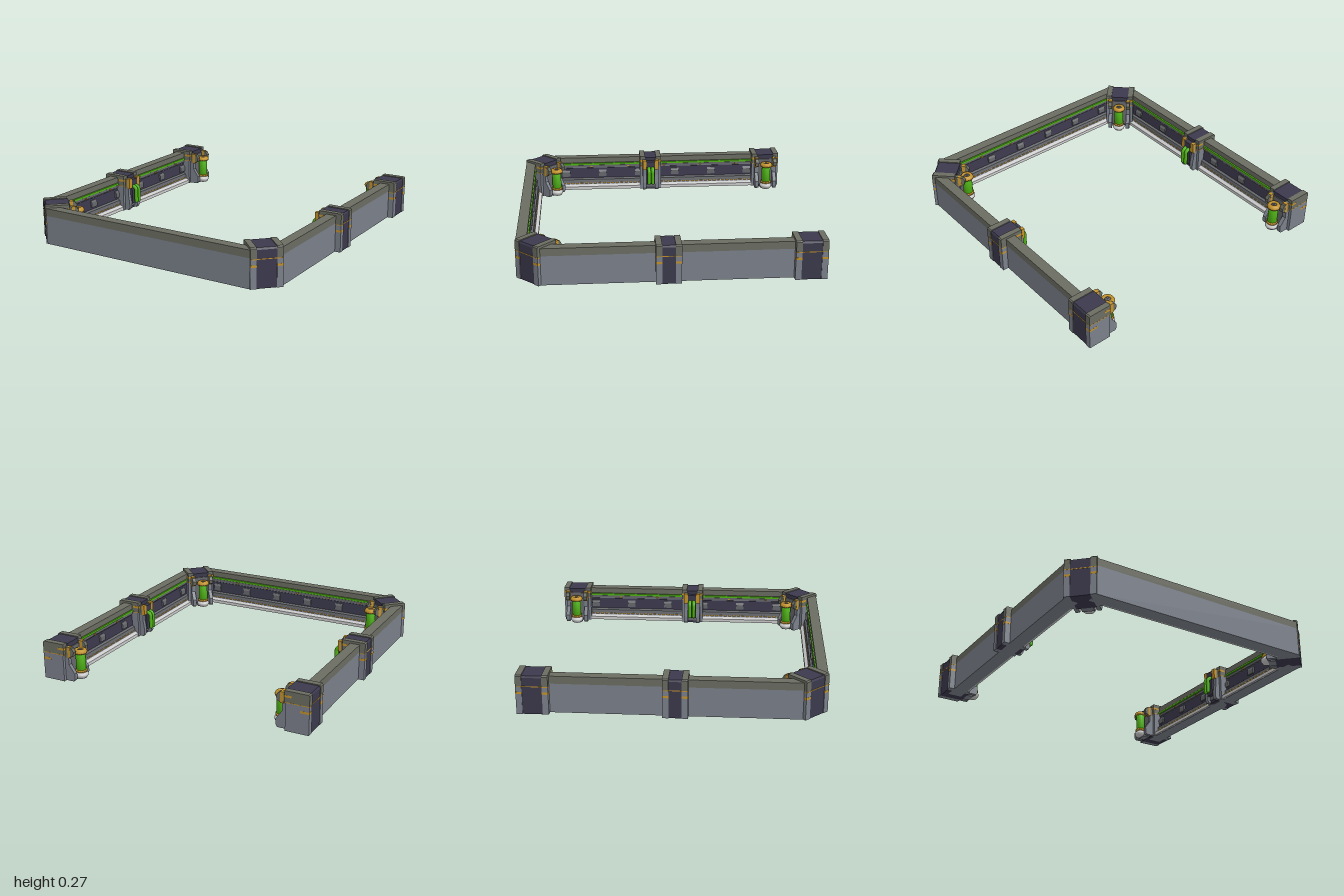
import * as THREE from 'three';

const paint = (color) => new THREE.MeshStandardMaterial({ color });
const STEEL = paint(0x7b808a), OLIVE = paint(0x6b6d62), DARK = paint(0x3b394c), GOLD = paint(0xc4932c);
const GREEN = paint(0x4fb314), PALE = paint(0xd4d4d2), GREY = paint(0x66686c);

function add(parent, name, geometry, material, x = 0, y = 0, z = 0) {
  const mesh = new THREE.Mesh(geometry, material);
  mesh.name = name;
  mesh.position.set(x, y, z);
  parent.add(mesh);
  return mesh;
}

// Box given by its depth, height and width ranges
function block(parent, name, material, [x0, x1], [y0, y1], [z0, z1]) {
  return add(parent, name, new THREE.BoxGeometry(x1 - x0, y1 - y0, z1 - z0), material,
    (x0 + x1) / 2, (y0 + y1) / 2, (z0 + z1) / 2);
}

// Outline of depth and height points, extruded along z and centred on z
function bar(parent, name, material, points, length, z = 0) {
  const shape = new THREE.Shape(points.map(([x, y]) => new THREE.Vector2(x, y)));
  const geometry = new THREE.ExtrudeGeometry(shape, { depth: length, bevelEnabled: false });
  return add(parent, name, geometry, material, 0, 0, z - length / 2);
}

// Wall: outer face at x = 0, inner side towards +x, running along z
function makeWall(name, length) {
  const wall = new THREE.Group();
  wall.name = name;
  bar(wall, 'wallBody', STEEL,
    [[0, 0], [0.1, 0], [0.1, 0.03], [0.08, 0.055], [0.06, 0.07], [0.06, 0.2], [0, 0.2]], length);
  bar(wall, 'wallCap', OLIVE, [[0, 0.2], [0.06, 0.2], [0.07, 0.215], [0.07, 0.252], [0, 0.252]], length);
  bar(wall, 'ledge', PALE, [[0.08, 0.002], [0.115, 0.002], [0.115, 0.026], [0.08, 0.045]], length);
  bar(wall, 'darkPanel', DARK, [[0.055, 0.085], [0.07, 0.085], [0.064, 0.165], [0.055, 0.165]], length);
  bar(wall, 'lowerRail', GREY, [[0.06, 0.055], [0.088, 0.05], [0.084, 0.075], [0.06, 0.085]], length);
  bar(wall, 'upperRail', GREY, [[0.055, 0.17], [0.07, 0.172], [0.07, 0.19], [0.055, 0.19]], length);
  bar(wall, 'greenStrip', GREEN, [[0.055, 0.193], [0.076, 0.193], [0.076, 0.207], [0.055, 0.207]], length);

  // Panel boxes, gold studs and gold dashes along the inner side
  const boxes = Math.round(length / 0.27);
  for (let i = 0; i < boxes; i++) {
    const z = ((i + 0.5) / boxes - 0.5) * length;
    bar(wall, 'panelBox', GREY, [[0.055, 0.1], [0.08, 0.1], [0.08, 0.135], [0.07, 0.15], [0.055, 0.15]], 0.06, z);
    block(wall, 'goldStud', GOLD, [0.06, 0.078], [0.174, 0.184], [z + 0.08, z + 0.095]);
  }
  const dashes = Math.round(length / 0.035);
  for (let i = 0; i < dashes; i++) {
    const z = ((i + 0.5) / dashes - 0.5) * length;
    block(wall, 'goldDash', GOLD, [0.08, 0.09], [0.042, 0.05], [z - 0.011, z + 0.011]);
  }
  return wall;
}

// Lamp: green column between gold collars on a pale foot
function makeLamp() {
  const lamp = new THREE.Group();
  lamp.name = 'lamp';
  const lathe = (name, material, points) => add(lamp, name,
    new THREE.LatheGeometry(points.map(([r, y]) => new THREE.Vector2(r, y)), 20), material);
  lathe('lampFoot', PALE, [[0, 0], [0.035, 0], [0.046, 0.018], [0.046, 0.03], [0.03, 0.045], [0, 0.045]]);
  lathe('lowerCollar', GOLD, [[0, 0.045], [0.04, 0.045], [0.04, 0.06], [0, 0.06]]);
  lathe('greenColumn', GREEN, [[0, 0.06], [0.034, 0.06], [0.034, 0.18], [0, 0.18]]);
  lathe('upperCollar', GOLD, [[0.018, 0.18], [0.045, 0.18], [0.047, 0.19], [0.04, 0.205], [0.024, 0.21], [0.018, 0.2]]);
  lathe('lampCap', GREY, [[0, 0.18], [0.02, 0.18], [0.02, 0.202], [0, 0.202]]);
  return lamp;
}

// Post: outer face at x = 0, inner side towards +x
function makePost(name, width, withLamp) {
  const post = new THREE.Group();
  post.name = name;
  const half = width / 2, core = half - 0.04;
  bar(post, 'darkCore', DARK, [[0.004, 0], [0.17, 0], [0.17, 0.262], [0.012, 0.262], [0.004, 0.25]], core * 2);
  block(post, 'coreGoldLine', GOLD, [0.002, 0.172], [0.188, 0.193], [-core, core]);
  for (const side of [-1, 1]) {
    const z = side * (half - 0.02);
    bar(post, 'flange', STEEL, [[0, 0], [0.16, 0], [0.16, 0.19], [0, 0.19]], 0.04, z);
    bar(post, 'flangeCap', OLIVE, [[0, 0.19], [0.165, 0.19], [0.165, 0.268], [0.008, 0.268], [0, 0.26]], 0.04, z);
    block(post, 'flangeGoldLine', GOLD, [-0.001, 0.166], [0.188, 0.193], [z - 0.0205, z + 0.0205]);
    block(post, 'flangeGoldBand', GOLD, [-0.001, 0.06], [0.14, 0.155], [z - 0.0205, z + 0.0205]);
    block(post, 'innerGoldInset', GOLD, [0.12, 0.168], [0.225, 0.24], [z - 0.0205, z + 0.0205]);

    // Bracket arms on the inner side, with sloped feet
    const reach = withLamp ? 0.232 : 0.2;
    const b = side * (half - 0.035);
    bar(post, 'bracketFoot', STEEL,
      [[0.15, 0.003], [reach - 0.01, 0.003], [reach, 0.02], [reach, 0.06], [0.19, 0.12], [0.19, 0.17], [0.15, 0.17]], 0.028, b);
    bar(post, 'bracketHook', OLIVE,
      [[0.15, 0.17], [0.19, 0.17], [reach - 0.005, 0.185], [reach, 0.215], [reach - 0.015, 0.24], [0.15, 0.25]], 0.028, b);
    block(post, 'bracketGoldBand', GOLD, [0.182, 0.204], [0.17, 0.246], [b - 0.015, b + 0.015]);
  }
  block(post, 'innerPlate', GREY, [0.165, 0.178], [0.02, 0.23], [-core, core]);
  if (withLamp) {
    const lamp = makeLamp();
    lamp.position.set(0.228, 0.006, 0);
    post.add(lamp);
    block(post, 'lampShelf', STEEL, [0.16, 0.22], [0.002, 0.02], [-0.04, 0.04]);
  } else {
    // Pair of green pipes bending down from a dark housing
    block(post, 'pipeHousing', DARK, [0.165, 0.205], [0.05, 0.235], [-0.032, 0.032]);
    for (const z of [-0.015, 0.015]) {
      const path = new THREE.CatmullRomCurve3([[0.18, 0.18], [0.21, 0.18], [0.228, 0.165], [0.23, 0.13], [0.23, 0.07]]
        .map(([x, y]) => new THREE.Vector3(x, y, z)));
      add(post, 'greenPipe', new THREE.TubeGeometry(path, 20, 0.014, 10), GREEN);
      add(post, 'pipeEnd', new THREE.SphereGeometry(0.014, 10, 8), GREEN, 0.23, 0.07, z);
    }
  }
  return post;
}

export function createModel() {
  const model = new THREE.Group();
  const place = (part, x, z, turn) => {
    part.position.set(x, 0, z);
    part.rotation.y = turn;
    model.add(part);
  };

  place(makeWall('frontWall', 1.6), 0, 0.99, Math.PI / 2);
  for (const side of [-1, 1]) {
    const label = side > 0 ? 'left' : 'right';
    const turn = side > 0 ? Math.PI : 0;
    place(makeWall(label + 'Wall', 1.73), side * 0.94, -0.035, turn);
    place(makePost(label + 'EndPost', 0.21, true), side * 0.98, -0.895, turn);
    place(makePost(label + 'MiddlePost', 0.165, false), side * 0.98, 0.02, turn);
    place(makePost(label + 'CornerPost', 0.21, true), side * 0.88, 0.92, side > 0 ? Math.PI * 0.75 : Math.PI * 0.25);
  }
  return model;
}
